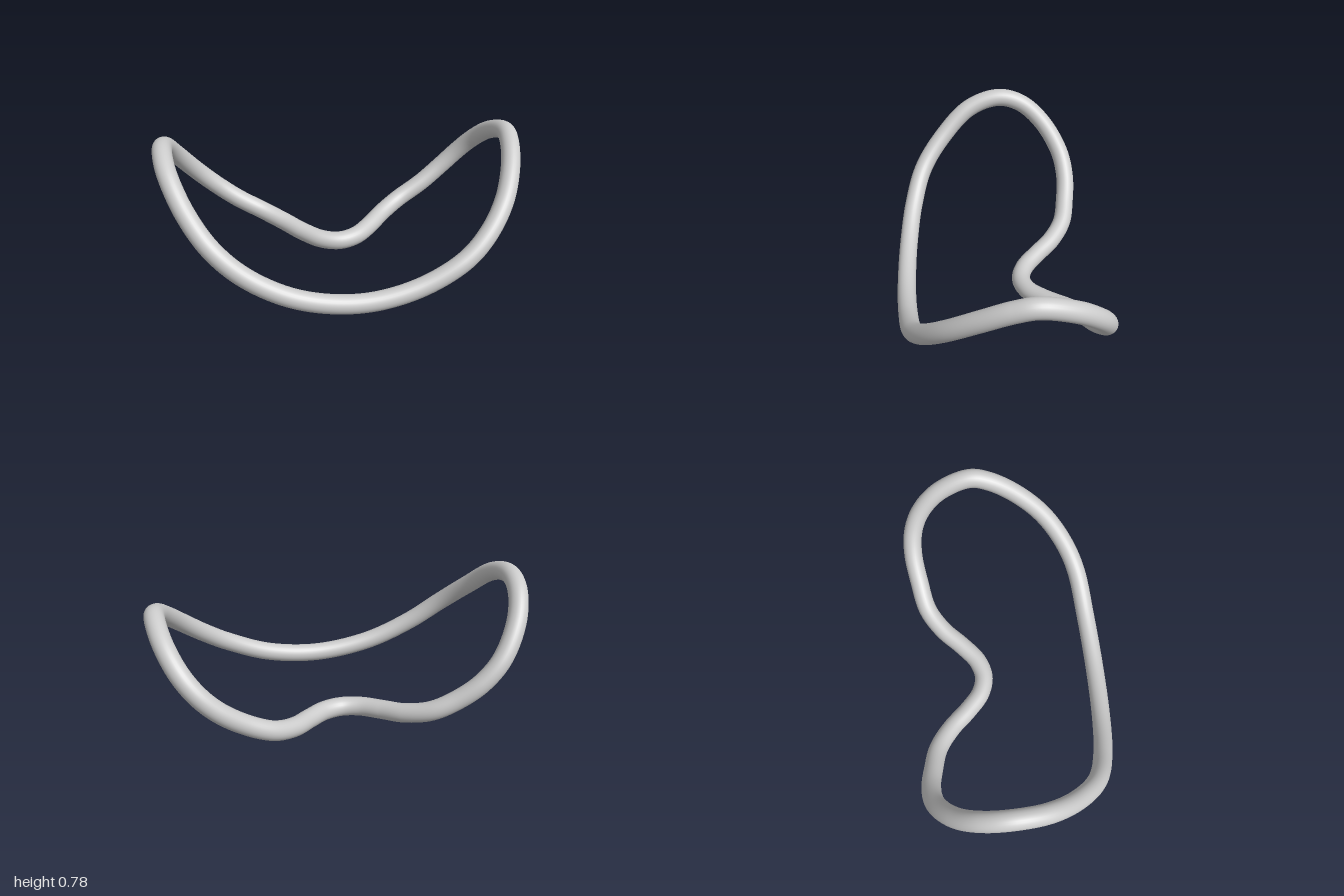
import * as THREE from 'three';

const TUBE_RADIUS = 0.052;

// Height of the loop's centreline: it lies on a bowl-like arc, slightly taller at -x.
function archHeight(x) {
  const r = x < 0 ? 1.003 : 1.028;
  return TUBE_RADIUS + r - Math.sqrt(r * r - x * x);
}

export function createModel() {
  const group = new THREE.Group();
  group.name = 'bentLoop';

  // Plan outline (x, z): front run, +x end, notched back run, -x end
  const plan = [
    [0, 0.493], [0.3, 0.48], [0.55, 0.448], [0.69, 0.385], [0.81, 0.275],
    [0.89, 0.13], [0.935, -0.02], [0.947, -0.13], [0.918, -0.31], [0.86, -0.425],
    [0.79, -0.478], [0.7, -0.494], [0.57, -0.479], [0.42, -0.447], [0.3, -0.37],
    [0.2, -0.27], [0.1, -0.188], [0, -0.16], [-0.1, -0.188], [-0.2, -0.27],
    [-0.3, -0.37], [-0.42, -0.45], [-0.55, -0.483], [-0.67, -0.497], [-0.78, -0.472],
    [-0.885, -0.37], [-0.935, -0.24], [-0.948, -0.1], [-0.927, 0.08], [-0.85, 0.25],
    [-0.735, 0.375], [-0.57, 0.441], [-0.32, 0.48],
  ];
  const points = plan.map(([x, z]) => new THREE.Vector3(x, archHeight(x), z));
  const path = new THREE.CatmullRomCurve3(points, true, 'centripetal');

  // Round tube swept once around the closed path
  const loop = new THREE.Mesh(
    new THREE.TubeGeometry(path, 300, TUBE_RADIUS, 28, true),
    new THREE.MeshStandardMaterial({ color: 0xcccccc }),
  );
  loop.name = 'tubeLoop';
  group.add(loop);
  return group;
}
